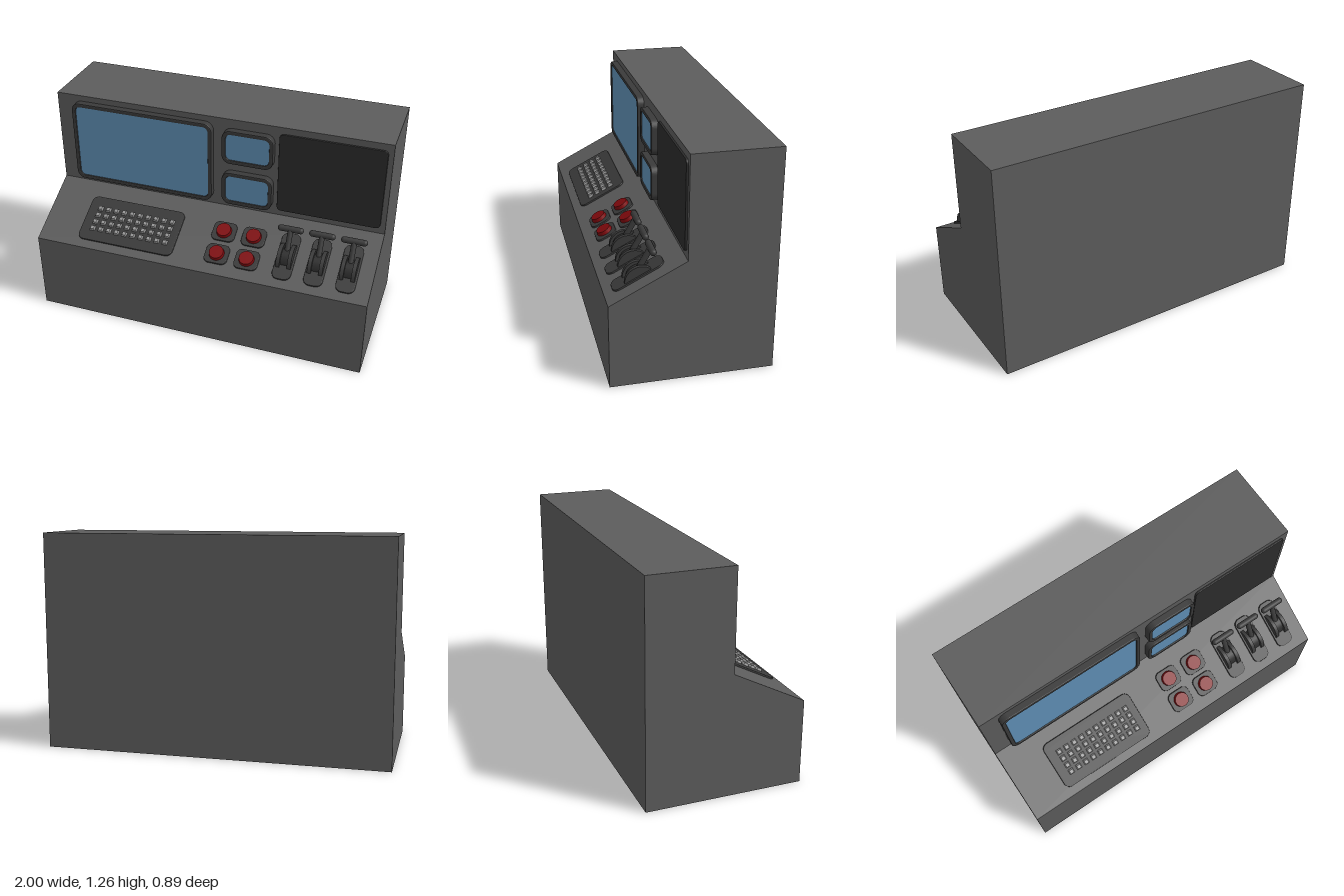
import * as THREE from 'three';

const mat = (color) => new THREE.MeshStandardMaterial({ color });
const bodyMat = mat(0x5c5c5c), darkMat = mat(0x3a3a3a), blackMat = mat(0x2c2c2c);
const glassMat = mat(0x5f8fb5), redMat = mat(0x80090d), keyMat = mat(0x999999);

function add(parent, name, geometry, material, x = 0, y = 0, z = 0) {
  const mesh = new THREE.Mesh(geometry, material);
  mesh.name = name;
  mesh.position.set(x, y, z);
  parent.add(mesh);
  return mesh;
}

// Rounded rectangle outline centred on the origin
function roundRect(w, h, r, Type = THREE.Shape) {
  const s = new Type(), x = w / 2, y = h / 2;
  s.moveTo(-x + r, -y);
  s.lineTo(x - r, -y);
  s.absarc(x - r, -y + r, r, -Math.PI / 2, 0);
  s.lineTo(x, y - r);
  s.absarc(x - r, y - r, r, 0, Math.PI / 2);
  s.lineTo(-x + r, y);
  s.absarc(-x + r, y - r, r, Math.PI / 2, Math.PI);
  s.lineTo(-x, -y + r);
  s.absarc(-x + r, -y + r, r, Math.PI, Math.PI * 1.5);
  return s;
}

// Plate with a small bevel, back at z = 0
function plate(w, h, r, depth, bevel = 0.004) {
  return new THREE.ExtrudeGeometry(roundRect(w - 2 * bevel, h - 2 * bevel, r), {
    depth: depth - bevel, bevelThickness: bevel, bevelSize: bevel, bevelSegments: 2, curveSegments: 6,
  });
}

// Framed screen on the upright panel
function screen(parent, name, x, y, w, h, r, rim) {
  const g = new THREE.Group();
  g.name = name;
  g.position.set(x, y, 0.035);
  const bevel = 0.006;
  const outline = roundRect(w - 2 * bevel, h - 2 * bevel, r);
  outline.holes.push(roundRect(w - 2 * rim, h - 2 * rim, r * 0.8, THREE.Path));
  add(g, 'screenFrame', new THREE.ExtrudeGeometry(outline, {
    depth: 0.034, bevelThickness: bevel, bevelSize: bevel, bevelSegments: 2, curveSegments: 6,
  }), darkMat);
  add(g, 'screenGlass', plate(w - 2 * rim + 0.006, h - 2 * rim + 0.006, r * 0.8, 0.032), glassMat);
  parent.add(g);
}

// Throttle lever: local y runs up the slope, z away from it
function lever(parent, x) {
  const g = new THREE.Group();
  g.name = 'lever';
  g.position.x = x;
  add(g, 'leverPlate', plate(0.11, 0.3, 0.035, 0.01), darkMat, 0, -0.028, 0);
  const disc = (name, radius, width, px, m) => {
    add(g, name, new THREE.CylinderGeometry(radius, radius, width, 32), m, px, -0.03, -0.026)
      .rotation.z = Math.PI / 2;
  };
  for (const side of [-1, 1]) disc('leverCheek', 0.086, 0.022, side * 0.033, darkMat);
  disc('leverHub', 0.07, 0.05, 0, blackMat);
  const arm = add(g, 'leverArm', new THREE.CylinderGeometry(0.016, 0.016, 0.16, 16), darkMat, 0, 0.032, 0.052);
  arm.rotation.x = Math.atan2(0.543, 0.84);
  add(g, 'leverHandle', new THREE.CapsuleGeometry(0.018, 0.115, 4, 16), darkMat, 0, 0.099, 0.095)
    .rotation.z = Math.PI / 2;
  parent.add(g);
}

export function createModel() {
  const model = new THREE.Group();
  model.name = 'controlConsole';

  // Cabinet: side profile extruded across the width
  const profile = [[0.445, 0], [0.445, 0.48], [0.035, 0.69], [0.035, 1.26], [-0.445, 1.26], [-0.445, 0]];
  const side = new THREE.Shape(profile.map(([z, y]) => new THREE.Vector2(-z, y)));
  const cabinet = new THREE.ExtrudeGeometry(side, { depth: 2, bevelEnabled: false });
  cabinet.translate(0, 0, -1).rotateY(Math.PI / 2);
  add(model, 'cabinet', cabinet, bodyMat);

  // Upright panel: one large screen, two small ones, a blank plate
  screen(model, 'largeScreen', -0.459, 0.973, 0.874, 0.505, 0.045, 0.018);
  screen(model, 'smallScreenTop', 0.19, 1.1, 0.304, 0.21, 0.045, 0.018);
  screen(model, 'smallScreenBottom', 0.19, 0.83, 0.304, 0.21, 0.045, 0.018);
  add(model, 'blankPanel', plate(0.604, 0.495, 0.022, 0.012), blackMat, 0.669, 0.973, 0.035);

  // Sloping desk
  const desk = new THREE.Group();
  desk.name = 'desk';
  desk.position.set(0, 0.585, 0.24);
  desk.rotation.x = -Math.PI / 2 + Math.atan2(0.21, 0.41);
  model.add(desk);

  // Keyboard
  add(desk, 'keyboardBase', plate(0.6, 0.3, 0.035, 0.01), darkMat, -0.46, -0.028, 0);
  const key = new THREE.CylinderGeometry(0.015, 0.023, 0.014, 4).rotateY(Math.PI / 4).rotateX(Math.PI / 2);
  const keyGeo = key.toNonIndexed();
  keyGeo.computeVertexNormals();
  for (let row = 0; row < 4; row++) {
    for (let col = 0; col < 10; col++) {
      add(desk, 'key', keyGeo, keyMat, -0.685 + col * 0.0515, 0.04 - row * 0.046, 0.016);
    }
  }

  // Push buttons
  for (const x of [0.1, 0.28]) {
    for (const y of [0.05, -0.1]) {
      add(desk, 'buttonPlate', plate(0.14, 0.125, 0.03, 0.01), darkMat, x, y, 0);
      add(desk, 'button', new THREE.CylinderGeometry(0.042, 0.046, 0.026, 24), redMat, x, y, 0.019)
        .rotation.x = Math.PI / 2;
    }
  }

  // Levers
  for (const x of [0.495, 0.677, 0.859]) lever(desk, x);

  return model;
}
